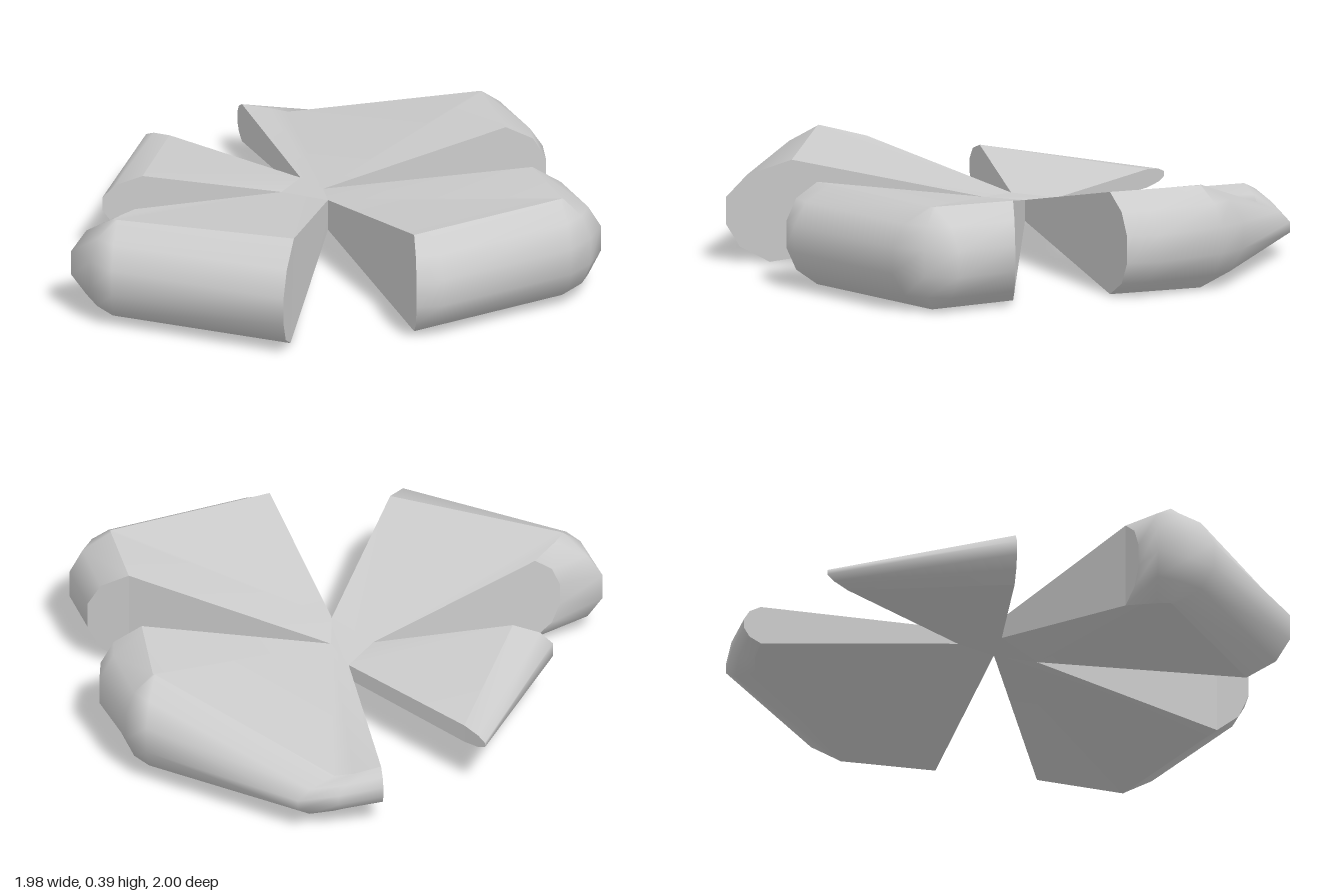
import * as THREE from 'three';

const MID = 0.195; // usual mid height of a blade
const material = new THREE.MeshStandardMaterial({ color: 0xcccccc });

// Inner corners between neighbouring blades: [x, z, half thickness]
const backRight = [-0.14, -0.08, 0.04];
const frontRight = [-0.06, 0.06, 0.06];
const frontLeft = [-0.27, 0.01, 0.04];
const backLeft = [-0.27, -0.17, 0.03];

// Rounded rim profile, ridge to ridge: [fraction outwards, fraction of half thickness]
const profile = [[0, 1], [0.68, 0.7], [1, 0.26], [1, -0.26], [0.68, -0.7], [0, -1]];

// Each blade: its two inner corners and rim stations
// [ridge x, ridge z, half thickness, outer x, outer z, mid height, lower ridge x, lower ridge z]
const blades = {
  rightBlade: {
    from: backRight, to: frontRight,
    stations: [
      [0.64, -0.25, 0.19, 0.79, -0.30],
      [0.86, -0.01, 0.195, 0.97, -0.13],
      [0.87, 0.00, 0.195, 0.985, 0.00],
      [0.865, 0.01, 0.195, 0.96, 0.13],
      [0.54, 0.49, 0.195, 0.64, 0.60],
      [0.50, 0.55, 0.195, 0.555, 0.655],
    ],
  },
  frontBlade: {
    from: frontRight, to: frontLeft,
    stations: [
      [0.10, 0.76, 0.195, 0.16, 1.00, MID, 0.12, 0.84],
      [-0.58, 0.85, 0.195, -0.54, 1.00],
      [-0.60, 0.85, 0.195, -0.65, 0.95],
      [-0.60, 0.79, 0.185, -0.76, 0.87],
      [-0.59, 0.66, 0.165, -0.65, 0.74],
    ],
  },
  leftBlade: {
    from: frontLeft, to: backLeft,
    stations: [
      [-0.73, 0.26, 0.105, -0.86, 0.335, 0.215, -0.77, 0.285],
      [-0.88, -0.35, 0.035, -0.99, -0.385],
    ],
  },
  // This rim dips and thins towards its left end
  backBlade: {
    from: backLeft, to: backRight,
    stations: [
      [-0.76, -0.76, 0.075, -0.80, -0.81, 0.145],
      [-0.68, -0.82, 0.07, -0.67, -0.92, 0.125],
      [-0.61, -0.85, 0.075, -0.54, -1.00, 0.105],
      [0.17, -0.85, 0.195, 0.12, -1.00],
      [0.18, -0.85, 0.195, 0.24, -0.95],
      [0.37, -0.60, 0.195, 0.46, -0.77],
      [0.40, -0.56, 0.195, 0.52, -0.66],
    ],
  },
};

const at = ([x, z, h], side) => [x, MID + side * h, z];

function addMesh(group, name, points, index) {
  const geometry = new THREE.BufferGeometry();
  geometry.setAttribute('position', new THREE.Float32BufferAttribute(points.flat(), 3));
  geometry.setIndex(index);
  geometry.computeVertexNormals();
  const mesh = new THREE.Mesh(geometry, material);
  mesh.name = name;
  group.add(mesh);
}

// Flat face filled as a fan from its first corner
function addFace(group, name, points) {
  const index = [];
  for (let i = 1; i < points.length - 1; i++) index.push(0, i, i + 1);
  addMesh(group, name, points, index);
}

// Rim cross-section at one station, from upper ridge to lower ridge
function section([rx, rz, h, ox, oz, mid = MID, lx = rx, lz = rz]) {
  return profile.map(([f, v]) => {
    const [x, z] = v > 0 ? [rx, rz] : [lx, lz];
    return [x + (ox - x) * f, mid + h * v, z + (oz - z) * f];
  });
}

function makeBlade(name, { from, to, stations }) {
  const blade = new THREE.Group();
  blade.name = name;
  const sections = stations.map(section);
  const n = profile.length;

  // Smooth rounded rim swept through the stations
  const index = [];
  for (let i = 0; i < sections.length - 1; i++) {
    for (let j = 0; j < n - 1; j++) {
      const a = i * n + j, b = a + n;
      index.push(a, b, b + 1, a, b + 1, a + 1);
    }
  }
  addMesh(blade, 'rim', sections.flat(), index);

  // Sloping top and underside
  const topEdge = sections.map((s) => s[0]), lowEdge = sections.map((s) => s[n - 1]);
  addFace(blade, 'topFace', [at(from, 1), ...topEdge, at(to, 1)].reverse());
  addFace(blade, 'underside', [at(from, -1), ...lowEdge, at(to, -1)]);

  // Cut sides, and the rim ends beyond them
  const first = sections[0], last = sections[sections.length - 1];
  addFace(blade, 'startCut', [at(from, 1), first[0], first[n - 1], at(from, -1)]);
  addFace(blade, 'startRimEnd', first);
  addFace(blade, 'endCut', [at(to, -1), last[n - 1], last[0], at(to, 1)]);
  addFace(blade, 'endRimEnd', [...last].reverse());
  return blade;
}

export function createModel() {
  const model = new THREE.Group();
  model.name = 'fourBladedBody';
  for (const [name, spec] of Object.entries(blades)) model.add(makeBlade(name, spec));

  // Small hub joining the blades
  const hub = new THREE.Group();
  hub.name = 'hub';
  const ring = [backRight, frontRight, frontLeft, backLeft];
  addFace(hub, 'hubTop', ring.map((p) => at(p, 1)).reverse());
  addFace(hub, 'hubUnderside', ring.map((p) => at(p, -1)));
  model.add(hub);
  return model;
}
